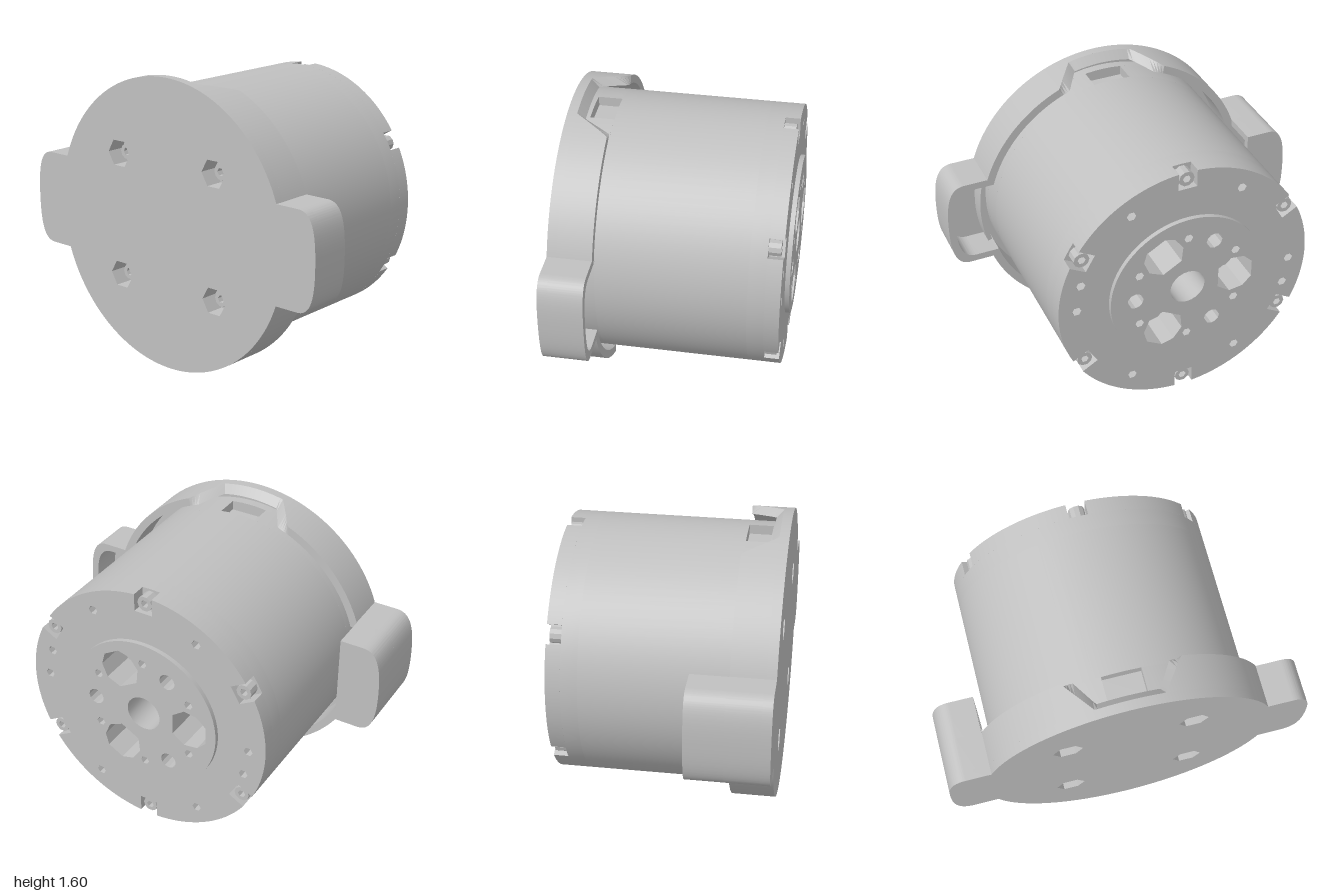
import * as THREE from 'three';
import { toCreasedNormals } from 'three/addons/utils/BufferGeometryUtils.js';

const grey = new THREE.MeshStandardMaterial({ color: 0xc0c0c0 });
grey.name = 'satin grey';
const RAD = Math.PI / 180, R = 0.72;
const FRONT = 0.612, PLATE = 0.56, RIM = 0.375;

function addMesh(group, name, geometry) {
  const mesh = new THREE.Mesh(toCreasedNormals(geometry, 0.5), grey);
  mesh.name = name;
  group.add(mesh);
}

// Flat outline extruded along z from z0 to z1
function slab(group, name, shape, z0, z1) {
  const g = new THREE.ExtrudeGeometry(shape, { depth: z1 - z0, bevelEnabled: false, curveSegments: 48 });
  addMesh(group, name, g.translate(0, 0, z0));
}

function ngon(x, y, r, n, Type = THREE.Path) {
  const pts = [];
  for (let i = 0; i < n; i++) {
    const a = (i / n) * Math.PI * 2;
    pts.push(new THREE.Vector2(x + r * Math.cos(a), y + r * Math.sin(a)));
  }
  return new Type(pts);
}

const polar = (r, deg) => [r * Math.cos(deg * RAD), r * Math.sin(deg * RAD)];

function disc(r, hole) {
  const s = new THREE.Shape().absarc(0, 0, r, 0, Math.PI * 2, false);
  if (hole) s.holes.push(ngon(0, 0, hole, 64));
  return s;
}

// Disc with rectangular notches cut into its edge
function notchedDisc(angles, halfWidth, innerR) {
  const s = new THREE.Shape(), d = Math.asin(halfWidth / R);
  angles.forEach((deg, i) => {
    const a = deg * RAD, c = Math.cos(a), n = Math.sin(a);
    const next = (angles[i + 1] ?? angles[0] + 360) * RAD;
    s[i ? 'lineTo' : 'moveTo'](c * innerR + n * halfWidth, n * innerR - c * halfWidth);
    s.lineTo(c * innerR - n * halfWidth, n * innerR + c * halfWidth);
    s.absarc(0, 0, R, a + d, next - d, false);
  });
  return s;
}

// Round cover outline with a soft-cornered ear on each side
function earedOutline(r, w, h) {
  const s = new THREE.Shape(), a = Math.asin(h / r), k = w - 0.11;
  s.absarc(0, 0, r, a, Math.PI - a, false);
  s.lineTo(-k, h);
  s.bezierCurveTo(-w + 0.02, h, -w, h * 0.6, -w, 0);
  s.bezierCurveTo(-w, -h * 0.6, -w + 0.02, -h, -k, -h);
  s.absarc(0, 0, r, Math.PI + a, 2 * Math.PI - a, false);
  s.lineTo(k, -h);
  s.bezierCurveTo(w - 0.02, -h, w, -h * 0.6, w, 0);
  s.bezierCurveTo(w, h * 0.6, w - 0.02, h, k, h);
  return s;
}

// Cover wall: a four-point section swept round, with bevelled notches top and bottom
function rimGeometry() {
  const outer = earedOutline(0.8, 1, 0.265).getPoints(64);
  const inner = earedOutline(0.755, 0.96, 0.225).getPoints(64);
  const n = Math.min(outer.length, inner.length), pos = [], index = [];
  const backZ = (p, wide, narrow, top) => {
    const phi = Math.atan2(Math.abs(p.x), Math.abs(p.y));
    return RIM + (top - RIM) * THREE.MathUtils.clamp((wide - phi) / (wide - narrow), 0, 1);
  };
  for (let i = 0; i < n; i++) {
    const o = outer[i], q = inner[i];
    pos.push(o.x, o.y, PLATE, o.x, o.y, backZ(o, 0.4, 0.23, PLATE));
    pos.push(q.x, q.y, backZ(q, 0.34, 0.22, 0.52), q.x, q.y, PLATE);
    const j = (i + 1) % n;
    for (let k = 0; k < 4; k++) {
      const m = (k + 1) % 4;
      index.push(i * 4 + k, i * 4 + m, j * 4 + m, i * 4 + k, j * 4 + m, j * 4 + k);
    }
  }
  const g = new THREE.BufferGeometry();
  g.setAttribute('position', new THREE.Float32BufferAttribute(pos, 3));
  g.setIndex(index);
  g.computeVertexNormals();
  return g;
}

// Ear outline on the -x side, solid or as an open C-shaped wall
function earShape(hollow) {
  const s = new THREE.Shape(), x0 = -0.757;
  const side = (w, h, sign) => {
    s.lineTo(-w + 0.11, sign * h);
    s.bezierCurveTo(-w + 0.02, sign * h, -w, sign * h * 0.6, -w, 0);
    s.bezierCurveTo(-w, -sign * h * 0.6, -w + 0.02, -sign * h, -w + 0.11, -sign * h);
    s.lineTo(x0, -sign * h);
  };
  s.moveTo(x0, 0.265);
  side(1, 0.265, 1);
  if (hollow) {
    s.lineTo(x0, -0.225);
    side(0.96, 0.225, -1);
  }
  return s;
}

export function createModel() {
  const model = new THREE.Group();
  model.name = 'motorHousing';
  const unit = new THREE.Group();
  unit.name = 'motor';
  unit.position.y = 0.8;
  model.add(unit);

  const mounts = [[0.34, 0.345], [-0.34, 0.345], [-0.34, -0.34], [0.34, -0.34]];
  const addMountHoles = (s) => {
    mounts.forEach(([x, y]) => s.holes.push(ngon(x, y, 0.08, 6)));
    return s;
  };

  // Cover plate, wall and the deep hood on one ear
  slab(unit, 'coverPlate', addMountHoles(earedOutline(0.8, 1, 0.265)), PLATE, FRONT);
  addMesh(unit, 'coverRim', rimGeometry());
  slab(unit, 'earHoodWall', earShape(true), 0.205, RIM);
  slab(unit, 'earHoodBack', earShape(false), 0.17, 0.205);

  // Low ribs closing the circle inside the ears
  for (const c of [0, Math.PI]) {
    const rib = new THREE.Shape();
    rib.absarc(0, 0, 0.785, c - 0.28, c + 0.28, false);
    rib.absarc(0, 0, 0.76, c + 0.28, c - 0.28, true);
    slab(unit, 'earRib', rib, 0.46, PLATE);
  }

  // Cylindrical body in slices, with a slot near the cover
  const screws = [30, 90, 150, 210, 270, 330];
  slab(unit, 'bodyFront', addMountHoles(disc(R)), 0.51, PLATE);
  slab(unit, 'bodySlot', notchedDisc([90], 0.105, 0.66), 0.38, 0.51);
  slab(unit, 'bodyMain', disc(R), -0.42, 0.38);
  slab(unit, 'bodyRear', disc(R, 0.44), -0.51, -0.42);

  // Notched rear flange with small holes
  const flange = notchedDisc(screws, 0.052, 0.62);
  flange.holes.push(ngon(0, 0, 0.44, 64));
  for (const a of [60, 120, 240, 300, 2, 17, 182, 197]) {
    flange.holes.push(ngon(...polar(0.62, a), 0.026, 6));
  }
  slab(unit, 'rearFlange', flange, -0.59, -0.51);

  // Screws: ring-shaped heads with a socket
  const screw = (name, x, y, z0, z1) => {
    const s = ngon(x, y, 0.043, 10, THREE.Shape);
    s.holes.push(ngon(x, y, 0.022, 6));
    slab(unit, name, s, z0, z1);
  };
  screws.forEach((a) => screw('rearScrew', ...polar(0.668, a), -0.575, -0.51));
  mounts.forEach(([x, y]) => screw('frontScrew', x, y, 0.51, 0.555));

  // Output disc with bore, three large pockets and two hole patterns
  const output = disc(0.44);
  output.holes.push(ngon(0, 0, 0.1, 24));
  const half = [[0.18, 0.06], [0.25, 0.11], [0.33, 0.1], [0.38, 0.05]];
  const pocket = [...half, ...half.map(([u, v]) => [u, -v]).reverse()];
  for (const a of [60, 180, 300]) {
    const o = new THREE.Vector2();
    output.holes.push(new THREE.Path(pocket.map(([u, v]) => new THREE.Vector2(u, v).rotateAround(o, a * RAD))));
    output.holes.push(ngon(...polar(0.3, a + 60), 0.046, 12));
  }
  screws.forEach((a) => output.holes.push(ngon(...polar(0.32, a), 0.025, 6)));
  slab(unit, 'outputDisc', output, -0.615, -0.42);

  return model;
}
